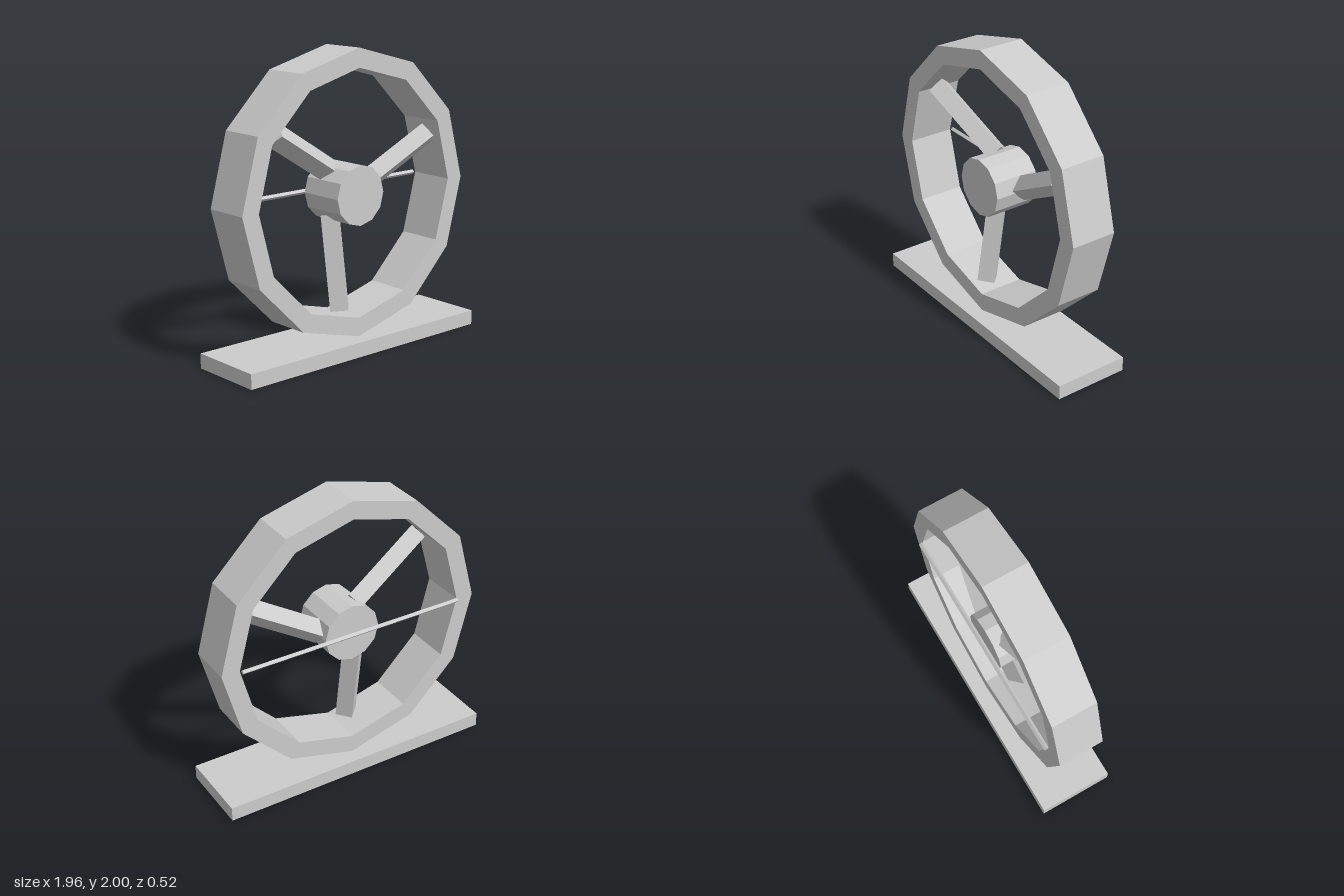
import * as THREE from 'three';

const SIDES = 12;
const CENTRE_Y = 1.05;

// Corner points of a regular polygon with a corner straight up
function polygon(radius) {
  return Array.from({ length: SIDES }, (_, i) => {
    const a = Math.PI / 2 + (i * 2 * Math.PI) / SIDES;
    return new THREE.Vector2(Math.cos(a) * radius, Math.sin(a) * radius);
  });
}

export function createModel() {
  const group = new THREE.Group();
  const grey = new THREE.MeshStandardMaterial({ name: 'plain grey', color: 0xcccccc, flatShading: true });

  function add(parent, name, geometry, x = 0, y = 0, z = 0) {
    const mesh = new THREE.Mesh(geometry, grey);
    mesh.name = name;
    mesh.position.set(x, y, z);
    parent.add(mesh);
    return mesh;
  }

  // Flat plinth
  add(group, 'base', new THREE.BoxGeometry(1.96, 0.1, 0.52), 0, 0.05, 0);

  // Fan, turning about the z axis
  const fan = new THREE.Group();
  fan.name = 'fan';
  fan.position.y = CENTRE_Y;
  group.add(fan);

  // Twelve-sided outer ring
  const rim = new THREE.Shape(polygon(0.95));
  rim.holes.push(new THREE.Path(polygon(0.823)));
  add(fan, 'ring', new THREE.ExtrudeGeometry(rim, { depth: 0.316, bevelEnabled: false }), 0, 0, -0.158);

  // Hub, slightly proud of the ring at the front
  const hub = new THREE.CylinderGeometry(0.2, 0.2, 0.322, SIDES).rotateX(Math.PI / 2);
  add(fan, 'hub', hub, 0, 0, 0.011);

  // Three square blades, twisted on edge, leaning forward and set off-centre
  const blade = new THREE.BoxGeometry(0.115, 0.632, 0.115);
  for (let i = 0; i < 3; i++) {
    const arm = new THREE.Group();
    arm.name = 'bladeArm';
    arm.rotation.z = (i * 2 * Math.PI) / 3;
    fan.add(arm);
    add(arm, 'blade', blade, -0.081, -0.46, 0.01).rotation.set(-0.147, Math.PI / 4, 0);
  }

  // Thin support rod across the back
  const rod = new THREE.CylinderGeometry(0.0165, 0.0165, 1.63, 4).rotateZ(Math.PI / 2);
  add(fan, 'rearRod', rod, 0, 0, -0.175);

  return group;
}
